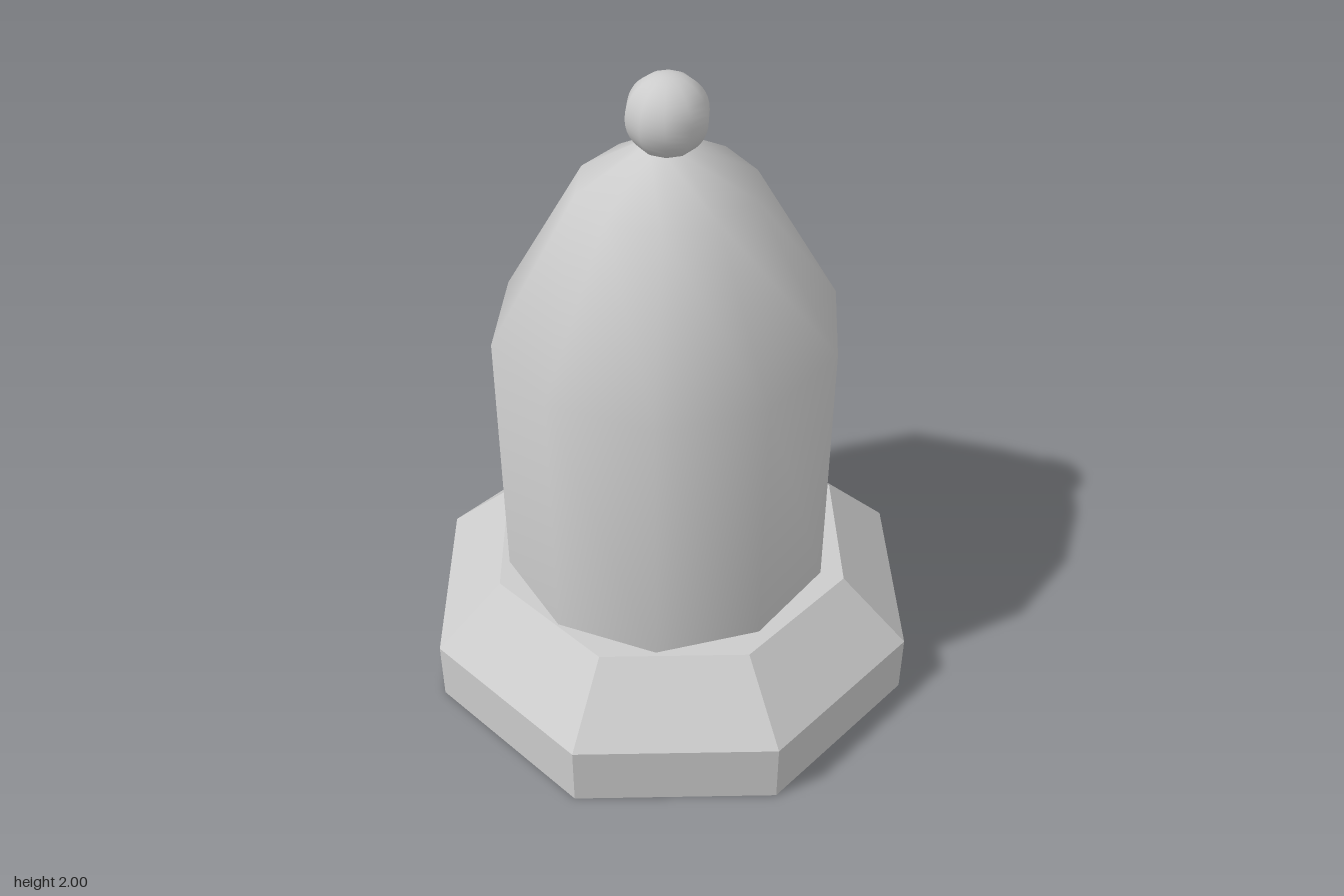
import * as THREE from 'three';

// Solid of revolution from [radius, height] pairs, listed bottom to top
function turned(name, profile, sides, flatShading) {
  const points = profile.map(([r, y]) => new THREE.Vector2(r, y));
  const geometry = new THREE.LatheGeometry(points, sides, Math.PI / 2);
  const mesh = new THREE.Mesh(geometry, new THREE.MeshStandardMaterial({ color: 0xcccccc, flatShading }));
  mesh.name = name;
  return mesh;
}

export function createModel() {
  const model = new THREE.Group();
  model.name = 'domedPawn';

  // Faceted octagonal foot with a chamfered upper rim
  const base = turned('base', [[0, 0], [0.787, 0], [0.787, 0.2], [0.576, 0.4], [0, 0.4]], 8, true);

  // Ten-sided smooth body tapering to a point hidden inside the knob
  const body = turned('body', [[0.51, 0.39], [0.51, 1.235], [0.255, 1.68], [0.07, 1.795], [0, 1.835]], 10, false);
  body.position.x = -0.009;
  body.scale.z = 1.03;

  // Round knob on top
  const knob = new THREE.Mesh(
    new THREE.SphereGeometry(0.116, 10, 20),
    new THREE.MeshStandardMaterial({ color: 0xcccccc })
  );
  knob.name = 'knob';
  knob.position.set(-0.009, 1.884, 0);

  model.add(base, body, knob);
  return model;
}
